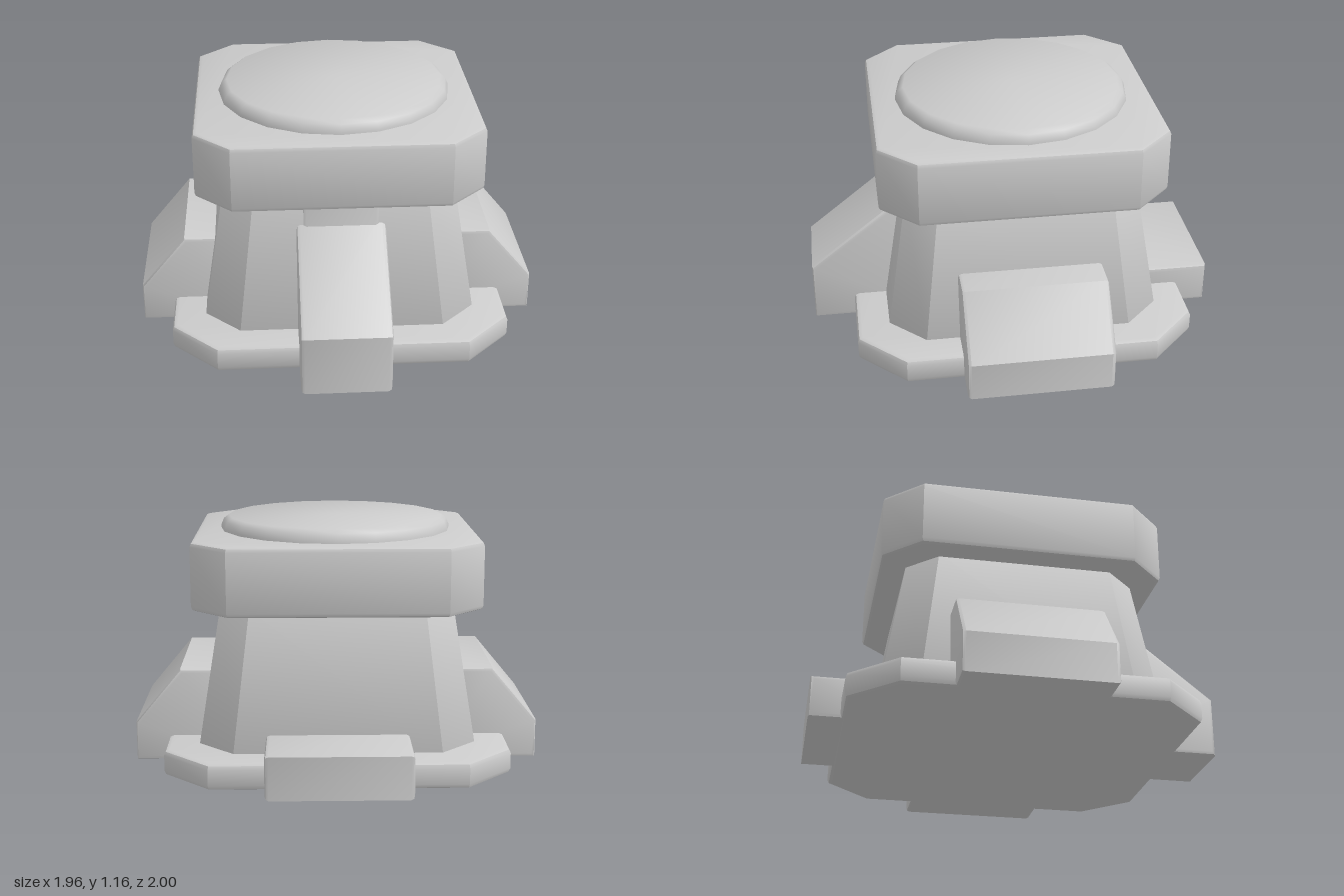
import * as THREE from 'three';
import { toCreasedNormals } from 'three/addons/utils/BufferGeometryUtils.js';

const material = new THREE.MeshStandardMaterial({ color: 0xcccccc });
const CENTRE_Z = -0.027;

// Extrude a polygon with a small rounded edge kept inside its outline
function extrude(points, depth, bevel) {
  const shape = new THREE.Shape(points.map(([x, y]) => new THREE.Vector2(x, y)));
  const geometry = new THREE.ExtrudeGeometry(shape, {
    depth: depth - 2 * bevel, bevelEnabled: true, bevelThickness: bevel,
    bevelSize: bevel, bevelOffset: -bevel, bevelSegments: 2,
  });
  return geometry.translate(0, 0, bevel);
}

function part(name, geometry) {
  const mesh = new THREE.Mesh(toCreasedNormals(geometry, 0.65), material);
  mesh.name = name;
  return mesh;
}

// Upright block with cut corners, optionally narrowing towards the top
function cutCornerBlock(name, hx, hz, cut, y0, y1, bevel, topScale = 1) {
  const points = [
    [hx - cut, -hz], [hx, cut - hz], [hx, hz - cut], [hx - cut, hz],
    [cut - hx, hz], [-hx, hz - cut], [-hx, cut - hz], [cut - hx, -hz],
  ];
  const geometry = extrude(points, y1 - y0, bevel).rotateX(-Math.PI / 2);
  const p = geometry.attributes.position;
  for (let i = 0; i < p.count; i++) {
    const s = THREE.MathUtils.lerp(1, topScale, p.getY(i) / (y1 - y0));
    p.setX(i, p.getX(i) * s);
    p.setZ(i, p.getZ(i) * s);
  }
  return part(name, geometry.translate(0, y0, CENTRE_Z));
}

// Side profile (outward, up) extruded to a width and turned to face outward
function bracket(name, profile, width, angle, z = 0) {
  const geometry = extrude(profile, width, 0.018).translate(0, 0, -width / 2);
  return part(name, geometry.rotateY(angle).translate(0, 0, z));
}

export function createModel() {
  const model = new THREE.Group();
  model.name = 'pedestal';

  // Stacked core: foot, tapered body, cap
  model.add(
    cutCornerBlock('footSlab', 0.82, 0.825, 0.22, 0, 0.125, 0.025),
    cutCornerBlock('taperedBody', 0.665, 0.67, 0.17, 0.09, 0.8, 0.008, 0.83),
    cutCornerBlock('cap', 0.685, 0.688, 0.175, 0.775, 1.1, 0.022),
  );

  // Low round pad on the cap
  const padProfile = [[0.57, 1.08], [0.57, 1.11], [0.555, 1.145], [0.53, 1.163], [0, 1.165]]
    .map(([r, y]) => new THREE.Vector2(r, y));
  const pad = part('topPad', new THREE.LatheGeometry(padProfile, 20));
  pad.position.z = CENTRE_Z - 0.005;
  model.add(pad);

  // Matching sloped brackets on both sides
  const sideProfile = [[0.45, 0], [0.98, 0], [0.98, 0.19], [0.76, 0.455], [0.45, 0.455]];
  model.add(
    bracket('leftBracket', sideProfile, 0.7, 0, -0.042),
    bracket('rightBracket', sideProfile, 0.7, Math.PI, -0.042),
  );

  // Tall front buttress and the narrow strip above it
  const frontProfile = [[0.4, 0], [1, 0], [1, 0.295], [0.52, 0.675], [0.4, 0.675]];
  model.add(bracket('frontButtress', frontProfile, 0.425, -Math.PI / 2));
  const stripProfile = [[0.42, 0.6], [0.568, 0.6], [0.54, 0.785], [0.42, 0.785]];
  model.add(bracket('frontStrip', stripProfile, 0.365, -Math.PI / 2));

  // Low block at the back
  const backProfile = [[0.55, 0.005], [1, 0.005], [1, 0.21], [0.55, 0.21]];
  model.add(bracket('backBlock', backProfile, 0.675, Math.PI / 2));

  return model;
}
